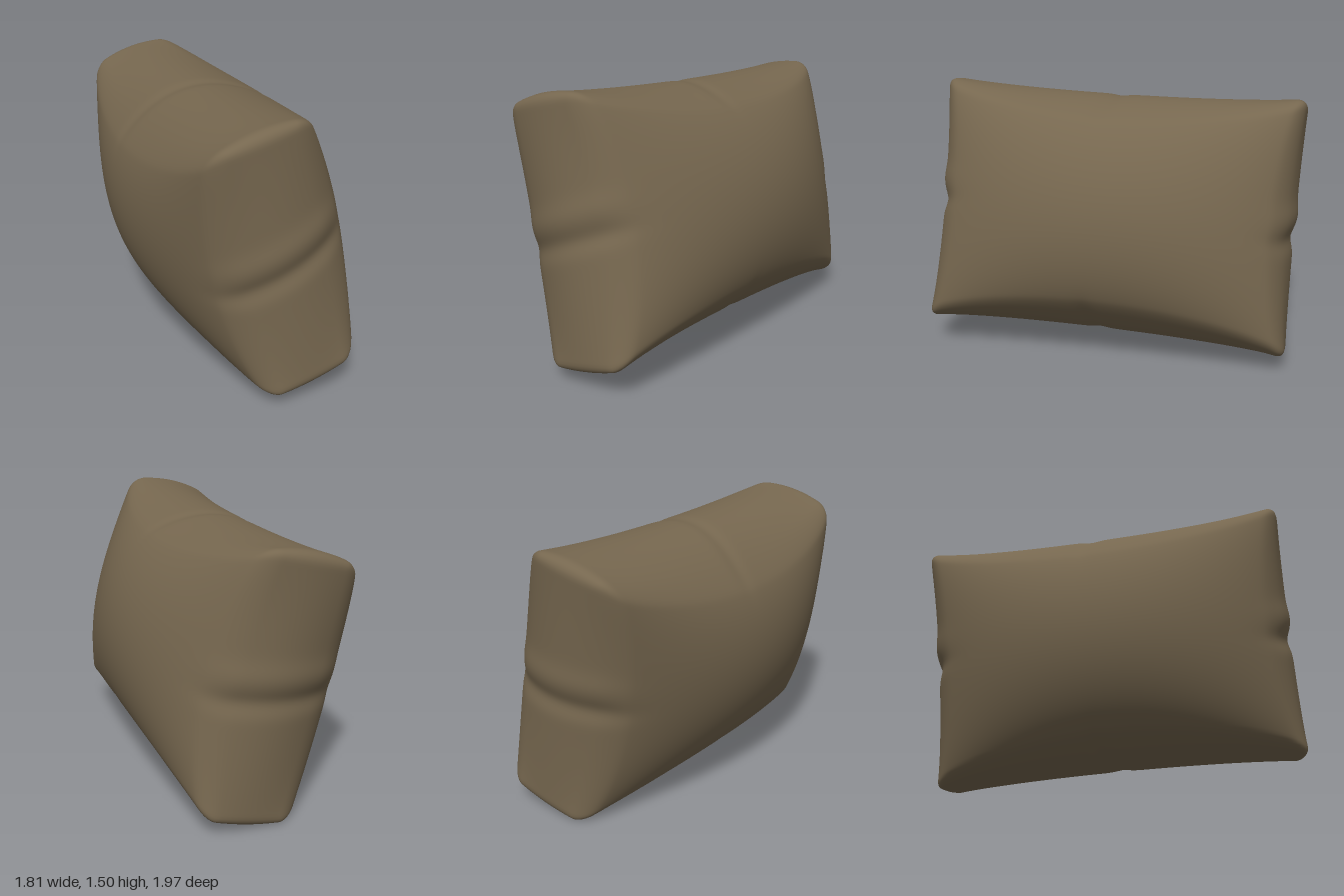
import * as THREE from 'three';
import { mergeVertices } from 'three/addons/utils/BufferGeometryUtils.js';

const bump = (x, w) => Math.exp(-(x * x) / (w * w));
const arch = (x) => Math.pow(Math.max(0, 1 - x * x), 0.75);

// Rounds the edges and corners of the unit cube; soft is the radius along each axis
const soft = [0.07, 0.1, 0.28];
function roundCube(point) {
  const core = point.map((v, k) => THREE.MathUtils.clamp(v, soft[k] - 1, 1 - soft[k]));
  const out = point.map((v, k) => (v - core[k]) / soft[k]);
  const len = Math.hypot(...out);
  return core.map((v, k) => v + (soft[k] * out[k]) / len);
}

export function createModel() {
  const group = new THREE.Group();
  group.name = 'pillow';

  // Half axes of the leaning cushion: width, height and thickness
  const centre = new THREE.Vector3(-0.005, 0.76, 0);
  const wide = new THREE.Vector3(0.632, 0.041, 0.805);
  const high = new THREE.Vector3(-0.139, 0.692, 0.072);
  const thick = new THREE.Vector3(-0.167, -0.054, 0.145);

  // One welded box, inflated by a rule
  let geo = new THREE.BoxGeometry(2, 2, 2, 100, 76, 30);
  geo.deleteAttribute('normal');
  geo.deleteAttribute('uv');
  geo = mergeVertices(geo, 1e-4);
  const pos = geo.attributes.position;
  const p = new THREE.Vector3();

  for (let i = 0; i < pos.count; i++) {
    const [s, t, r] = roundCube([pos.getX(i), pos.getY(i), pos.getZ(i)]);
    const fs = arch(s), ft = arch(t);

    // Faces swell in the middle and taper to the corners
    let d = r * (1 + 1.47 * (0.2 * ft + 0.4 * fs + 0.4 * fs * ft));
    // Top and bottom sag between the corners and roll over sideways
    let h = t * (1 - 0.055 * fs - 0.2 * fs * r * r);
    // Ends draw in slightly and roll over sideways
    let w = s * (1 - 0.015 * ft - 0.08 * ft * r * r);

    // Soft fold pressed into each end
    const line = t + 0.06 + 0.06 * r * Math.sign(s);
    const fold = bump(line, 0.08) - 0.6 * bump(line - 0.18, 0.1);
    w -= s * 0.018 * fold * Math.pow(Math.abs(s), 12);
    // Faint crease across the middle of the top and bottom
    h -= t * 0.012 * bump(s + 0.08 * r, 0.05) * Math.pow(Math.abs(t), 8);

    // Blunt top corners
    const corner = Math.pow(Math.abs(s * t), 10) * r * r;
    const blunt = 1 - (t > 0 ? 0.03 * corner : 0);
    w *= blunt;
    h *= blunt;

    p.copy(centre).addScaledVector(wide, w).addScaledVector(high, h).addScaledVector(thick, d);
    pos.setXYZ(i, p.x, p.y, p.z);
  }
  geo.computeVertexNormals();

  const cushion = new THREE.Mesh(geo, new THREE.MeshStandardMaterial({ color: 0x76674f }));
  cushion.name = 'cushion';
  group.add(cushion);
  return group;
}
